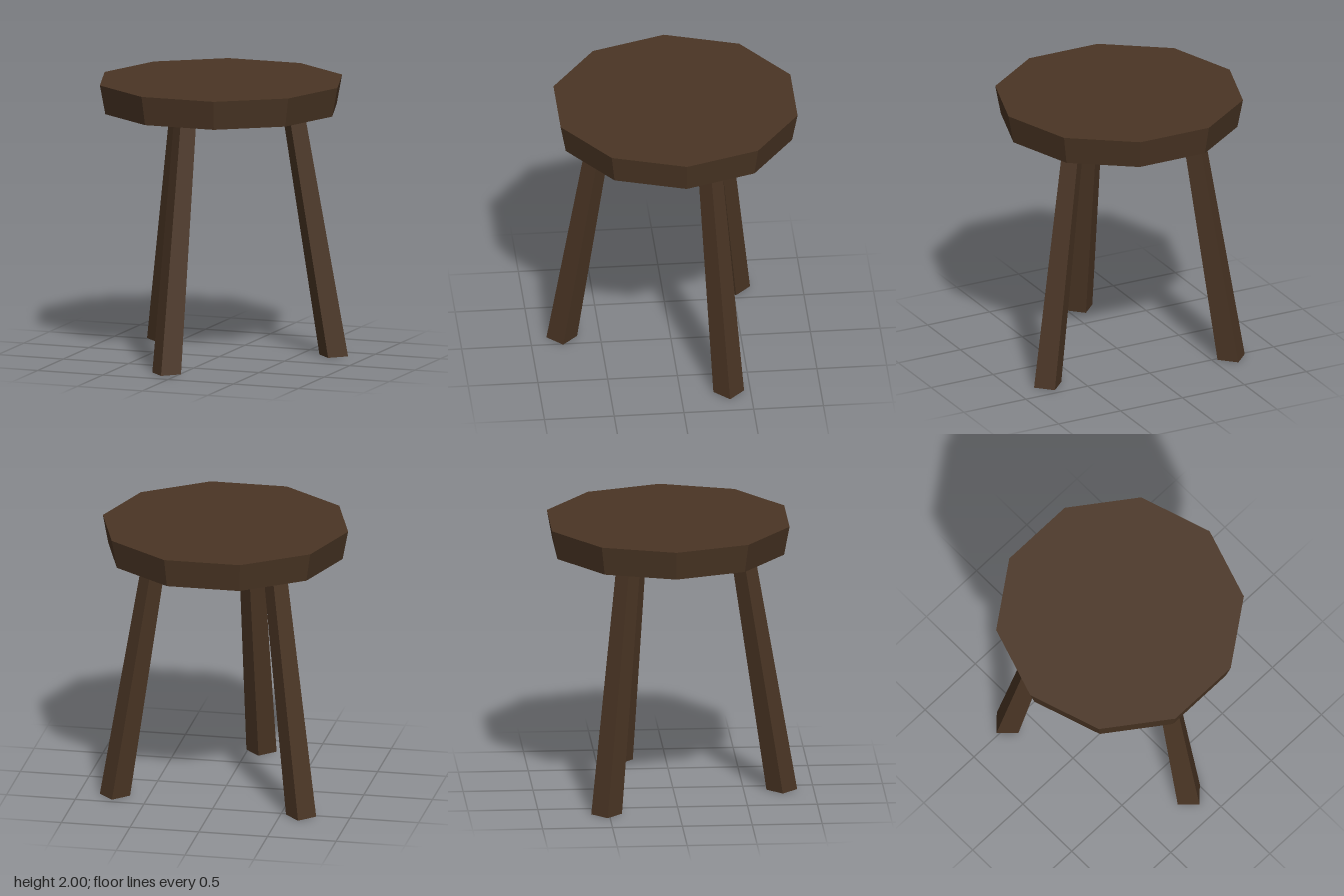
import * as THREE from 'three';

const SEAT_BOTTOM = 1.79;
const TOP = 2;
const wood = new THREE.MeshStandardMaterial({ color: 0x4a3524, flatShading: true });

// Square tapered leg leaning from its foot [x, z] to its head [x, z] under the seat
function makeLeg(name, foot, head) {
  const height = SEAT_BOTTOM + 0.01;
  const geometry = new THREE.CylinderGeometry(0.085, 0.11, height, 4);
  geometry.translate(0, height / 2, 0);
  const pos = geometry.attributes.position;
  for (let i = 0; i < pos.count; i++) {
    const t = pos.getY(i) / height;
    pos.setX(i, pos.getX(i) + THREE.MathUtils.lerp(foot[0], head[0], t));
    pos.setZ(i, pos.getZ(i) + THREE.MathUtils.lerp(foot[1], head[1], t));
  }
  geometry.computeVertexNormals();
  const leg = new THREE.Mesh(geometry, wood);
  leg.name = name;
  return leg;
}

export function createModel() {
  const stool = new THREE.Group();
  stool.name = 'stool';

  // Ten-sided seat, narrower underneath, with corners pointing left and right
  const seat = new THREE.Mesh(
    new THREE.CylinderGeometry(0.893, 0.853, TOP - SEAT_BOTTOM, 10, 1, false, Math.PI / 2),
    wood
  );
  seat.name = 'seat';
  seat.position.set(0, (TOP + SEAT_BOTTOM) / 2, -0.033);
  stool.add(seat);

  // Three splayed legs
  stool.add(
    makeLeg('frontLeg', [-0.1, 0.773], [-0.07, 0.487]),
    makeLeg('backRightLeg', [-0.648, -0.518], [-0.42, -0.345]),
    makeLeg('backLeftLeg', [0.742, -0.345], [0.472, -0.23])
  );
  return stool;
}
